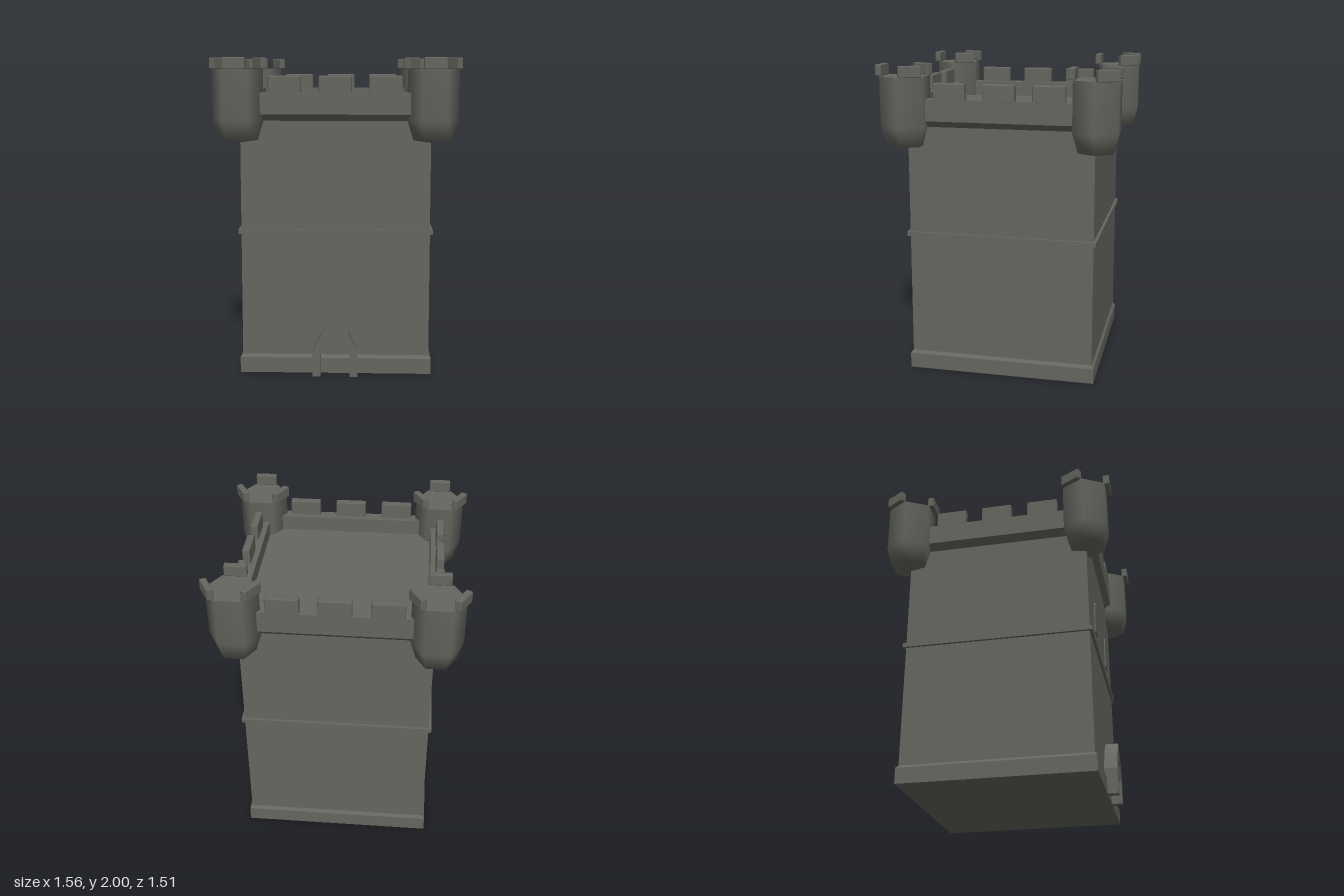
import * as THREE from 'three';
import { RoundedBoxGeometry } from 'three/addons/geometries/RoundedBoxGeometry.js';

const CZ = -0.01; // the tower is set slightly back to balance the doorway
const stone = new THREE.MeshStandardMaterial({ color: 0x666660 });
stone.name = 'stone';

function add(parent, name, geometry, x = 0, y = 0, z = 0) {
  const mesh = new THREE.Mesh(geometry, stone);
  mesh.name = name;
  mesh.position.set(x, y, z);
  parent.add(mesh);
  return mesh;
}

// Square block between two heights, with half widths at bottom and top
function squareBlock(halfBottom, halfTop, y0, y1) {
  const geo = new THREE.CylinderGeometry(halfTop * Math.SQRT2, halfBottom * Math.SQRT2, y1 - y0, 4)
    .rotateY(Math.PI / 4)
    .translate(0, (y0 + y1) / 2, 0)
    .toNonIndexed();
  geo.computeVertexNormals();
  return geo;
}

const squarePoints = h => [[-h, -h], [h, -h], [h, h], [-h, h]].map(p => new THREE.Vector2(...p));

// Mirrors the right half of an outline to the left, from bottom right over the tip
function mirrored(half) {
  const left = half.slice(0, -1).reverse().map(([x, y]) => [-x, y]);
  return [...half, ...left].map(p => new THREE.Vector2(...p));
}

const extrude = (shape, depth) => new THREE.ExtrudeGeometry(shape, { depth, bevelEnabled: false });

function createTurret() {
  const turret = new THREE.Group();
  turret.name = 'cornerTurret';
  const profile = [[0, 1.48], [0.12, 1.497], [0.158, 1.62], [0.158, 1.93]].map(p => new THREE.Vector2(...p));
  add(turret, 'turretWall', new THREE.LatheGeometry(profile, 6, Math.PI / 6));
  add(turret, 'turretTop', new THREE.CircleGeometry(0.158, 6).rotateX(-Math.PI / 2), 0, 1.93, 0);
  // Three merlons on alternate sides
  for (let i = 0; i < 3; i++) {
    const geo = new RoundedBoxGeometry(0.138, 0.07, 0.042, 1, 0.006)
      .translate(0, 1.965, 0.147)
      .rotateY(i * Math.PI * 2 / 3);
    add(turret, 'turretMerlon', geo);
  }
  return turret;
}

export function createModel() {
  const model = new THREE.Group();
  model.name = 'castleTower';
  const keep = new THREE.Group();
  keep.name = 'keep';
  keep.position.z = CZ;
  model.add(keep);

  // Plinth, walls and string course
  add(keep, 'plinth', squareBlock(0.61, 0.61, 0, 0.1));
  add(keep, 'plinthSlope', squareBlock(0.61, 0.594, 0.1, 0.12));
  add(keep, 'walls', squareBlock(0.595, 0.59, 0.1, 1.63));
  add(keep, 'stringCourse', squareBlock(0.61, 0.61, 0.907, 0.935));

  // Corbelled parapet around a sunken roof
  add(keep, 'corbel', squareBlock(0.59, 0.631, 1.615, 1.655));
  const ring = new THREE.Shape(squarePoints(0.631));
  ring.holes.push(new THREE.Path(squarePoints(0.548)));
  add(keep, 'parapet', extrude(ring, 0.135).rotateX(-Math.PI / 2), 0, 1.655, 0);
  add(keep, 'roof', squareBlock(0.55, 0.55, 1.65, 1.69));

  // Three merlons on each side
  for (let side = 0; side < 4; side++) {
    for (const x of [-0.31, 0, 0.31]) {
      const geo = new RoundedBoxGeometry(0.202, 0.11, 0.05, 1, 0.008)
        .translate(x, 1.835, 0.607)
        .rotateY(side * Math.PI / 2);
      add(keep, 'merlon', geo);
    }
  }

  // Corner turrets
  for (const x of [-0.6, 0.6]) {
    for (const z of [-0.598, 0.598]) {
      const turret = createTurret();
      turret.position.set(x, 0, z);
      keep.add(turret);
    }
  }

  // Pointed windows
  const windowShape = new THREE.Shape(mirrored([[0.042, 1.04], [0.042, 1.185], [0.026, 1.24], [0, 1.272]]));
  for (const x of [-0.273, 0.273]) add(model, 'window', extrude(windowShape, 0.009), x, 0, 0.581);

  // Pointed door surround, open at the bottom
  const outer = mirrored([[0.142, 0], [0.142, 0.165], [0.083, 0.285], [0, 0.373]]);
  const inner = mirrored([[0.092, 0], [0.092, 0.145], [0.053, 0.235], [0, 0.298]]);
  const arch = new THREE.Shape([...outer, ...inner.reverse()]);
  add(model, 'doorArch', extrude(arch, 0.092), 0, 0, 0.576);

  return model;
}
